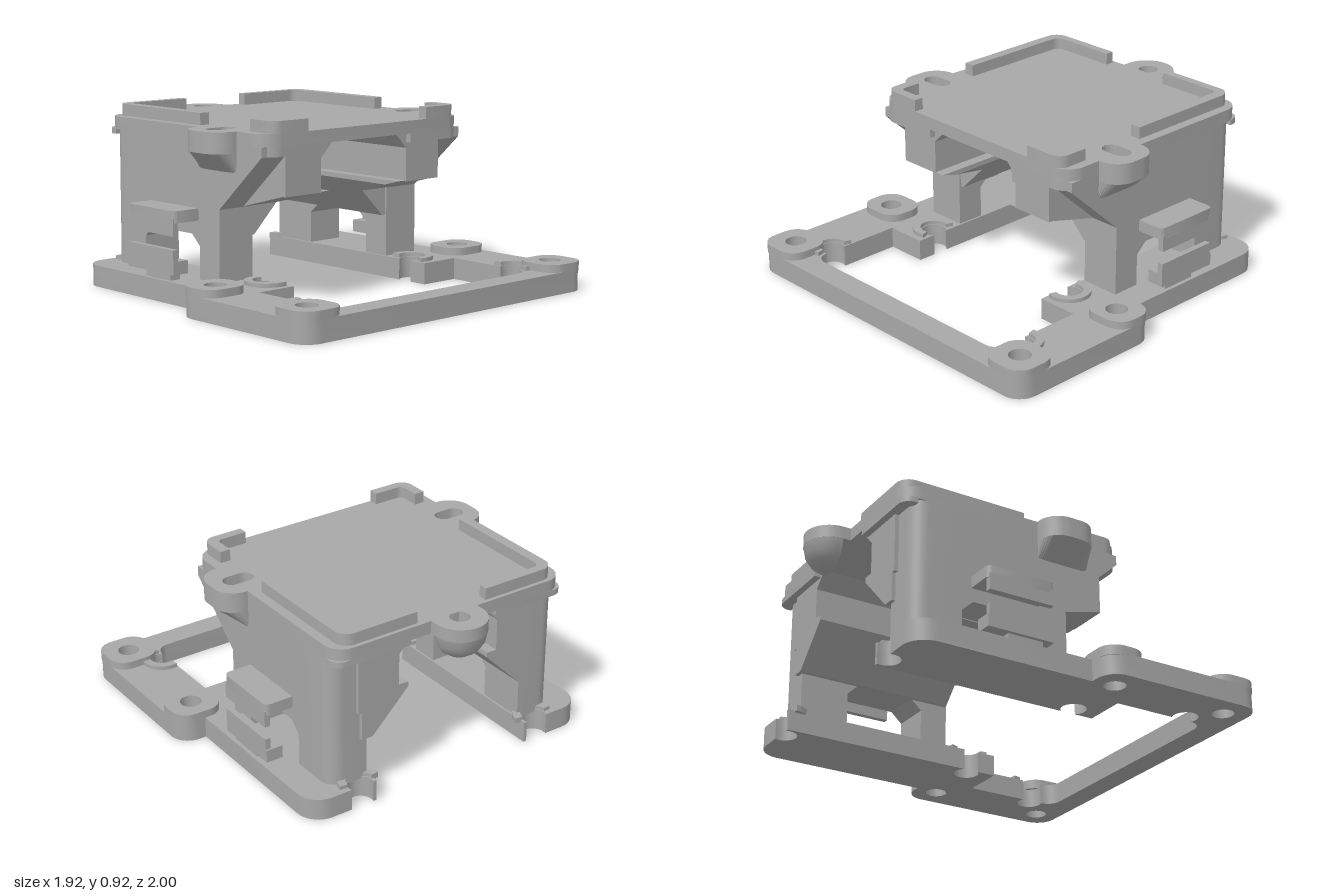
import * as THREE from 'three';
import { toCreasedNormals } from 'three/addons/utils/BufferGeometryUtils.js';

// Closed shape from [u, v, cornerRadius] points
function roundedShape(pts) {
  const s = new THREE.Shape();
  const n = pts.length;
  pts.forEach(([x, y, r = 0], i) => {
    const toward = ([px, py]) => {
      const d = Math.hypot(px - x, py - y);
      return [x + ((px - x) * r) / d, y + ((py - y) * r) / d];
    };
    const a = r ? toward(pts[(i + n - 1) % n]) : [x, y];
    if (i === 0) s.moveTo(...a); else s.lineTo(...a);
    if (r) {
      const b = toward(pts[(i + 1) % n]);
      const k = 0.552; // circular-looking corner
      s.bezierCurveTo(a[0] + (x - a[0]) * k, a[1] + (y - a[1]) * k,
        b[0] + (x - b[0]) * k, b[1] + (y - b[1]) * k, b[0], b[1]);
    }
  });
  s.closePath();
  return s;
}

const circleHole = (x, z, r) => new THREE.Path().absarc(x, -z, r, 0, Math.PI * 2);
const extrude = (shape, depth) =>
  new THREE.ExtrudeGeometry(shape, { depth, bevelEnabled: false, curveSegments: 10 });
const asShape = (p) => (Array.isArray(p) ? roundedShape(p) : p);

// Plan outline in (x, z), raised from y0 to y1
function plan(pts, y0, y1, holes = []) {
  const s = roundedShape(pts.map(([x, z, r]) => [x, -z, r]));
  s.holes.push(...holes);
  return extrude(s, y1 - y0).rotateX(-Math.PI / 2).translate(0, y0, 0);
}
// Profile in (z, y), running from x0 to x1
const sideProfile = (pts, x0, x1) =>
  extrude(asShape(pts), x1 - x0).rotateY(-Math.PI / 2).translate(x1, 0, 0);
// Profile in (x, y), running from z0 to z1
const frontProfile = (pts, z0, z1) => extrude(asShape(pts), z1 - z0).translate(0, 0, z0);

const box = (x0, x1, y0, y1, z0, z1) =>
  new THREE.BoxGeometry(x1 - x0, y1 - y0, z1 - z0)
    .translate((x0 + x1) / 2, (y0 + y1) / 2, (z0 + z1) / 2);

const rect = (x0, x1, z0, z1, r) => [[x0, z0, r], [x1, z0, r], [x1, z1, r], [x0, z1, r]];

function arc(cx, cz, r, a0, a1, n = 14) {
  return Array.from({ length: n + 1 }, (_, i) => {
    const a = a0 + ((a1 - a0) * i) / n;
    return [cx + r * Math.cos(a), cz + r * Math.sin(a)];
  });
}

// Mirror across x = 0, keeping faces outward
function mirrored(geo) {
  const g = geo.index ? geo.toNonIndexed() : geo.clone();
  g.scale(-1, 1, 1);
  for (const name of ['position', 'normal', 'uv']) {
    const a = g.attributes[name];
    for (let i = 0; i < a.count; i += 3)
      for (let k = 0; k < a.itemSize; k++) {
        const t = a.getComponent(i + 1, k);
        a.setComponent(i + 1, k, a.getComponent(i + 2, k));
        a.setComponent(i + 2, k, t);
      }
  }
  return g;
}

const symmetric = (half) => [...half, ...half.map(([x, z, r]) => [-x, z, r]).reverse()];

export function createModel() {
  const group = new THREE.Group();
  const grey = new THREE.MeshStandardMaterial({ color: 0xa8a8a8 });
  grey.name = 'grey plastic';

  const add = (name, geo) => {
    const mesh = new THREE.Mesh(toCreasedNormals(geo, 0.6), grey);
    mesh.name = name;
    group.add(mesh);
  };
  const pair = (name, geo) => {
    add(name + 'Left', geo);
    add(name + 'Right', mirrored(geo));
  };

  // Base frame, open at the back, with round notches along its inner edge
  const screws = [[0.83, 0.87], [0.83, 0.23]];
  const base = symmetric([
    [0.96, 1, 0.1], [0.96, 0.11, 0.1], [0.82, 0.11], [0.82, -0.84, 0.12],
    ...arc(0.53, -0.82, 0.065, -0.31, Math.PI + 0.31),
    [0.45, -0.84],
    ...arc(0.5, 0.22, 0.065, -2.45, 2.45),
    [0.45, 0.36], [0.67, 0.36],
    ...arc(0.7, 0.74, 0.065, -2.05, 2.05),
    [0.67, 0.87, 0.07],
  ]);
  const baseHoles = screws.flatMap(([x, z]) => [circleHole(x, z, 0.055), circleHole(-x, z, 0.055)]);
  add('baseFrame', plan(base, 0, 0.11, baseHoles));

  // Raised screw pads and notch collars
  screws.forEach(([x, z], i) => {
    const outline = rect(0.7, 0.96, i ? 0.11 : 0.75, i ? 0.34 : 1, 0.09);
    pair('screwPad', plan(outline, 0.1, 0.15, [circleHole(x, z, 0.055)]));
  });
  for (const [x, z, a0, a1] of [[0.7, 0.74, -1.8, 1.8], [0.5, 0.22, -1.9, 1.9], [0.53, -0.82, 0.1, 3.04]])
    pair('notchCollar', plan([...arc(x, z, 0.11, a0, a1), ...arc(x, z, 0.07, a1, a0)], 0.1, 0.13));

  // Side walls with a chamfered window and a sloped front
  pair('sideWall', sideProfile([
    [0.07, 0.1], [0.07, 0.47], [0.38, 0.75], [0.38, 0.8], [-0.52, 0.8], [-0.52, 0.1],
    [-0.51, 0.1], [-0.51, 0.275], [-0.45, 0.33], [-0.14, 0.33], [-0.08, 0.275], [-0.08, 0.1],
  ], 0.46, 0.67));
  pair('rearLeg', plan([[0.46, -0.51], [0.67, -0.51], [0.67, -0.77, 0.08], [0.46, -0.77]], 0.1, 0.8));

  // Inner blocks under the deck
  pair('innerBlock', frontProfile([
    [0.52, 0.55], [0.29, 0.55], [0.29, 0.72], [0.21, 0.8], [0.52, 0.8],
  ], -0.79, 0.38));

  // Inner rails with a sloped underside; the upper half leans forward
  pair('railLower', frontProfile([[0.5, 0.325], [0.44, 0.325], [0.295, 0.47], [0.5, 0.47]], -0.79, 0.06));
  const railUpper = frontProfile([[0.52, 0.47], [0.295, 0.47], [0.235, 0.53], [0.235, 0.555], [0.52, 0.555]], -0.79, 0.06);
  const rp = railUpper.attributes.position;
  for (let i = 0; i < rp.count; i++)
    if (rp.getZ(i) > 0) rp.setZ(i, 0.06 + ((rp.getY(i) - 0.47) / 0.085) * 0.32);
  railUpper.computeVertexNormals();
  pair('railUpper', railUpper);

  // Deck with side ears and slotted holes
  const deck = symmetric([
    [0.6, 0.41, 0.04], [0.67, 0.35, 0.04], [0.67, 0.2], [0.79, 0.2, 0.11],
    [0.79, -0.085, 0.11], [0.67, -0.085], [0.67, -0.825, 0.1],
  ]);
  const slot = (x) => new THREE.Path()
    .absarc(x + 0.035, -0.05, 0.045, -Math.PI / 2, Math.PI / 2)
    .absarc(x - 0.035, -0.05, 0.045, Math.PI / 2, Math.PI * 1.5);
  add('deck', plan(deck, 0.795, 0.86, [slot(0.64), slot(-0.64)]));
  pair('deckFrontRim', plan([[0.29, 0.36], [0.66, 0.36], [0.6, 0.41, 0.03], [0.29, 0.41]], 0.75, 0.8));
  pair('deckRearRim', plan([[0.25, -0.75], [0.67, -0.75], [0.67, -0.825, 0.06], [0.25, -0.825]], 0.77, 0.8));

  // Ear undersides: straight band, then a taper back into the wall
  const ear = [[0.66, 0.2], [0.79, 0.2, 0.11], [0.79, -0.085, 0.11], [0.66, -0.085]];
  pair('earBand', plan(ear, 0.755, 0.8));
  const taper = plan(ear, 0.66, 0.755);
  const tp = taper.attributes.position;
  for (let i = 0; i < tp.count; i++)
    if (tp.getY(i) < 0.7) tp.setX(i, 0.66 + (tp.getX(i) - 0.66) * 0.1);
  taper.computeVertexNormals();
  pair('earTaper', taper);

  // Rear tab with a screw hole and a half-round cup underneath
  add('rearTab', plan([[0.135, -0.815], ...arc(0, -0.865, 0.135, 0, -Math.PI, 24), [-0.135, -0.815]],
    0.795, 0.86, [circleHole(0, -0.867, 0.05)]));
  const cup = [[0, 0.66], [0.052, 0.67], [0.095, 0.7], [0.124, 0.743], [0.135, 0.8], [0.05, 0.8], [0.045, 0.69], [0, 0.69]];
  add('rearCup', new THREE.LatheGeometry(cup.map((p) => new THREE.Vector2(...p)), 20, Math.PI / 2, Math.PI)
    .translate(0, 0, -0.865));
  add('rearCupFace', new THREE.ShapeGeometry(roundedShape(symmetric(cup.slice(1, 7))))
    .translate(0, 0, -0.865));

  // Corner lips on the deck
  pair('rearLip', plan([
    [0.62, -0.13], [0.62, -0.805, 0.07], [0.2, -0.805], [0.2, -0.76], [0.565, -0.76, 0.04], [0.565, -0.13],
  ], 0.85, 0.92));
  pair('frontLip', plan([
    [0.62, 0.24], [0.62, 0.41, 0.06], [0.4, 0.41], [0.4, 0.36], [0.565, 0.36, 0.03], [0.565, 0.24],
  ], 0.85, 0.92));

  // Side clips: upper hook and lower hook on a small post
  pair('upperClip', plan(rect(0.6, 0.82, -0.46, -0.09, 0.03), 0.4, 0.46));
  pair('upperClipLip', box(0.79, 0.82, 0.335, 0.42, -0.45, -0.1));
  pair('lowerClip', box(0.73, 0.82, 0.145, 0.21, -0.46, -0.1));
  pair('lowerClipLip', box(0.79, 0.82, 0.2, 0.268, -0.45, -0.1));
  pair('lowerClipPost', box(0.74, 0.8, 0.1, 0.15, -0.34, -0.15));

  return group;
}
